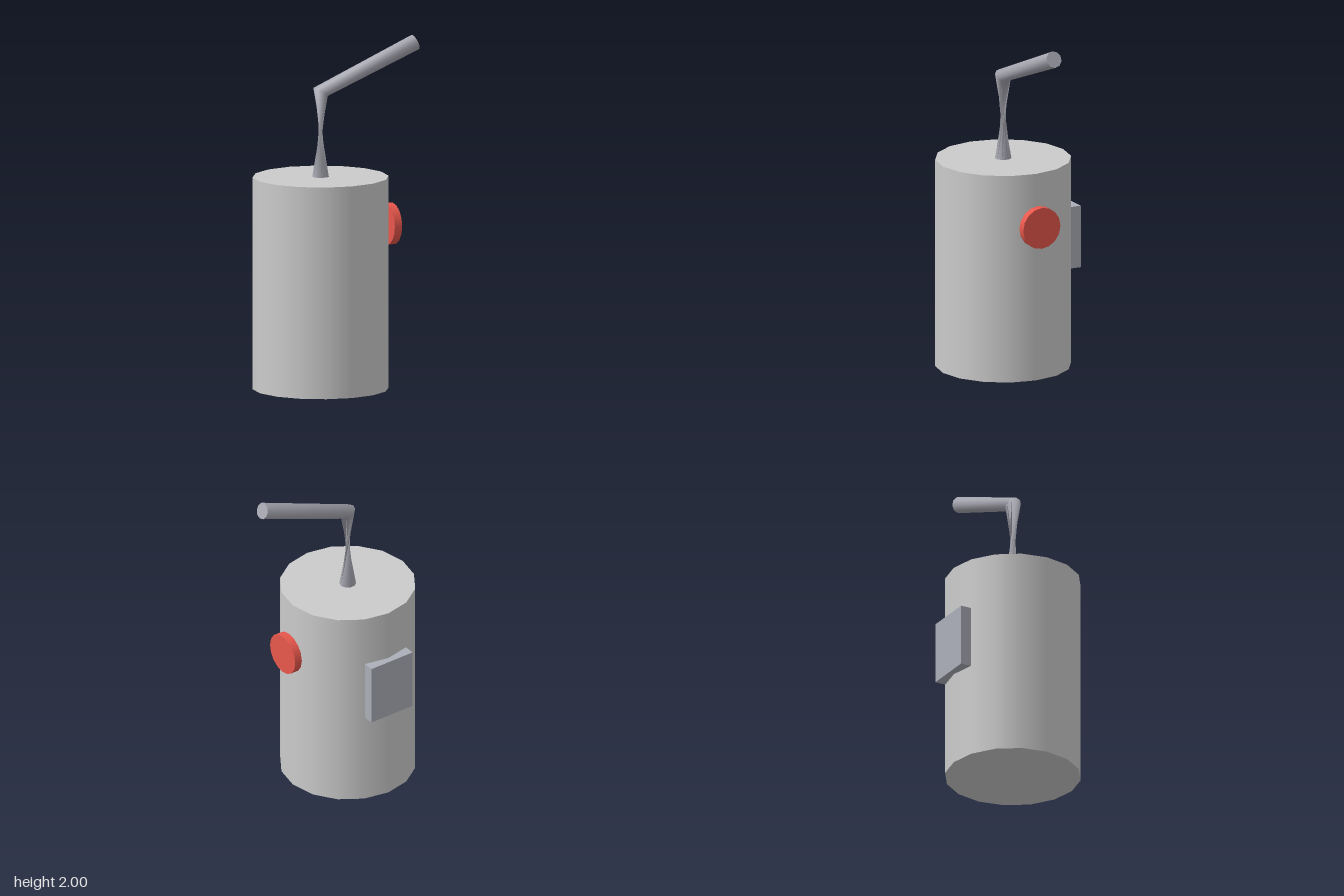
import * as THREE from 'three';

const AXIS_X = -0.12, AXIS_Z = 0.016;

function addMesh(group, name, geometry, color, x = 0, y = 0, z = 0) {
  const material = new THREE.MeshStandardMaterial({ color });
  const mesh = new THREE.Mesh(geometry, material);
  mesh.name = name;
  mesh.position.set(x, y, z);
  group.add(mesh);
  return mesh;
}

// Bent tube from three rings; the lower length is twisted half a turn
function bentTube(radius, sides) {
  // [x, y, tilt from vertical, twist]
  const rings = [
    [0, 1.225, 0, 0],
    [0, 1.715, 0.595, Math.PI],
    [0.607, 1.957, 1.19, Math.PI],
  ];
  const positions = [], index = [];
  const addRing = ([cx, cy, tilt, twist]) => {
    for (let i = 0; i < sides; i++) {
      const a = (i / sides) * Math.PI * 2 + twist;
      const u = Math.cos(a) * radius;
      positions.push(cx + u * Math.cos(tilt), cy - u * Math.sin(tilt), -Math.sin(a) * radius);
    }
  };
  rings.forEach(addRing);
  for (let r = 0; r < 2; r++) {
    for (let i = 0; i < sides; i++) {
      const j = (i + 1) % sides;
      const a = r * sides + i, b = r * sides + j;
      index.push(a, b, a + sides, b, b + sides, a + sides);
    }
  }
  // Separate end caps keep the rims sharp
  const bottom = positions.length / 3;
  addRing(rings[0]);
  const top = positions.length / 3;
  addRing(rings[2]);
  for (let i = 1; i < sides - 1; i++) {
    index.push(bottom, bottom + i + 1, bottom + i, top, top + i, top + i + 1);
  }
  const geometry = new THREE.BufferGeometry();
  geometry.setAttribute('position', new THREE.Float32BufferAttribute(positions, 3));
  geometry.setIndex(index);
  geometry.computeVertexNormals();
  return geometry;
}

export function createModel() {
  const model = new THREE.Group();
  model.name = 'canister';

  // Main drum
  addMesh(model, 'body', new THREE.CylinderGeometry(0.39, 0.39, 1.225, 16), 0xcccccc,
    AXIS_X, 0.6125, AXIS_Z);

  // Round red button floating just off the side
  const button = addMesh(model, 'button', new THREE.CylinderGeometry(0.121, 0.121, 0.047, 16),
    0xe8574c, 0.319, 0.92, AXIS_Z);
  button.rotation.z = -Math.PI / 2;

  // Flat plate on the back
  addMesh(model, 'backPanel', new THREE.BoxGeometry(0.292, 0.365, 0.068), 0xacafb8,
    AXIS_X, 0.737, -0.376);

  // Bent pipe on the lid
  const pipe = addMesh(model, 'bentPipe', bentTube(0.048, 10), 0xa6a6b0, AXIS_X, 0, AXIS_Z);
  pipe.material.side = THREE.DoubleSide;

  return model;
}
